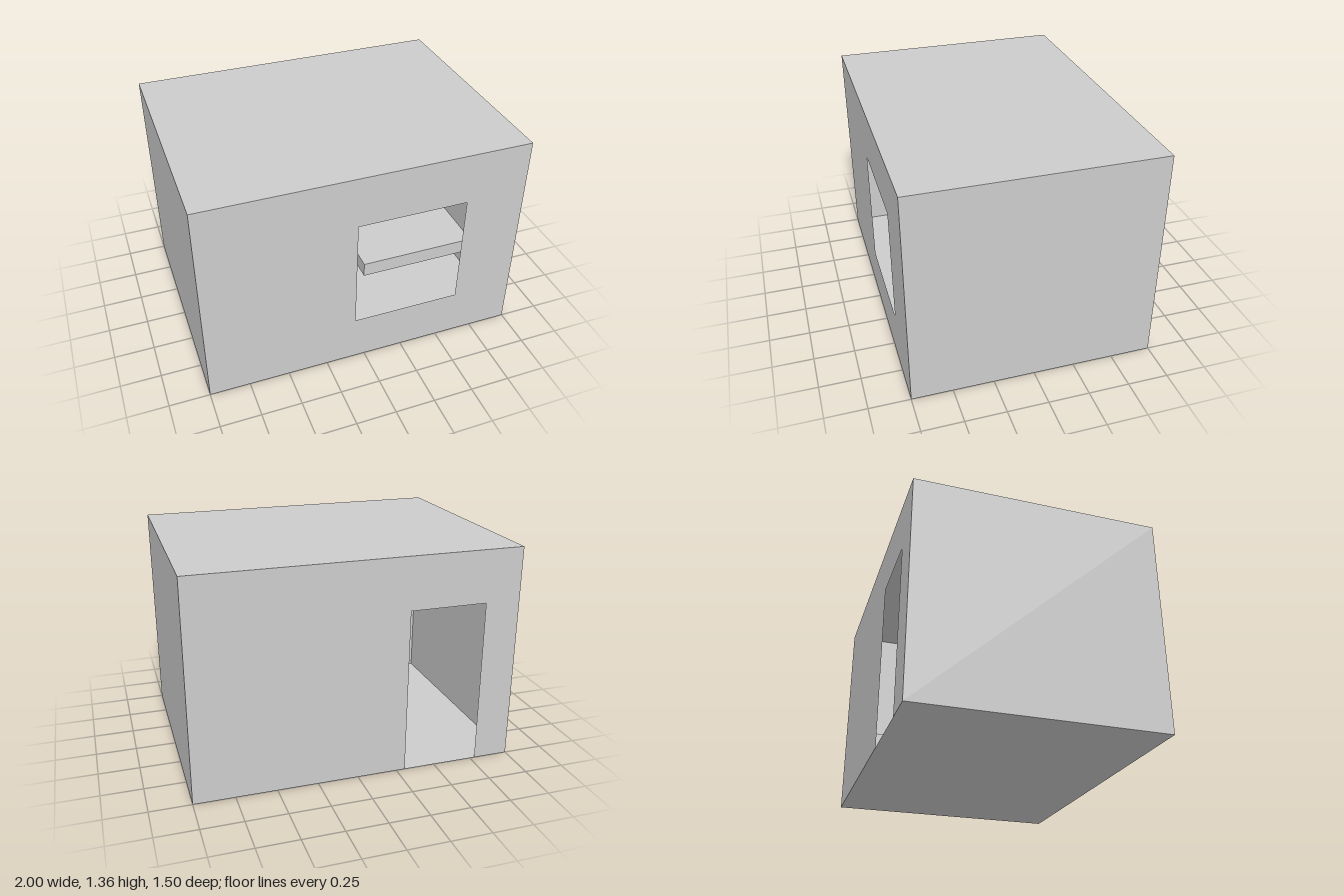
import * as THREE from 'three';

const W = 2, H = 1.355, D = 1.5;

export function createModel() {
  const house = new THREE.Group();
  house.name = 'room';
  const material = new THREE.MeshStandardMaterial({
    color: 0xcccccc, flatShading: true, side: THREE.DoubleSide,
  });

  const add = (name, geometry, x, y, z, rx = 0, ry = 0) => {
    const mesh = new THREE.Mesh(geometry, material);
    mesh.name = name;
    mesh.position.set(x, y, z);
    mesh.rotation.set(rx, ry, 0);
    house.add(mesh);
  };
  const outline = (points) => points.map(([x, y]) => new THREE.Vector2(x, y));

  // Front wall: thin sheet with a window opening
  const front = new THREE.Shape(outline([[-W / 2, 0], [W / 2, 0], [W / 2, H], [-W / 2, H]]));
  front.holes.push(new THREE.Path(outline(
    [[-0.065, 0.305], [-0.065, 1.03], [0.615, 1.03], [0.615, 0.305]])));
  add('frontWall', new THREE.ShapeGeometry(front), 0, 0, D / 2);

  // Back wall: thin sheet, notched by the doorway; turned to face -z
  const back = new THREE.Shape(outline([
    [-W / 2, 0], [0.305, 0], [0.305, 1.03], [0.78, 1.03], [0.78, 0],
    [W / 2, 0], [W / 2, H], [-W / 2, H]]));
  add('backWall', new THREE.ShapeGeometry(back), 0, 0, -D / 2, 0, Math.PI);

  // Side walls
  for (const [name, s] of [['leftWall', 1], ['rightWall', -1]]) {
    add(name, new THREE.PlaneGeometry(D, H), s * W / 2, H / 2, 0, 0, s * Math.PI / 2);
  }

  // Roof and floor
  add('roof', new THREE.PlaneGeometry(W, D), 0, H, 0, -Math.PI / 2);
  add('floor', new THREE.PlaneGeometry(W, D), 0, 0, 0, Math.PI / 2);

  // Bed slab, held by the walls in the back corner
  add('bed', new THREE.BoxGeometry(0.8, 0.1, 1), 0.6, 0.225, -0.25);

  return house;
}
